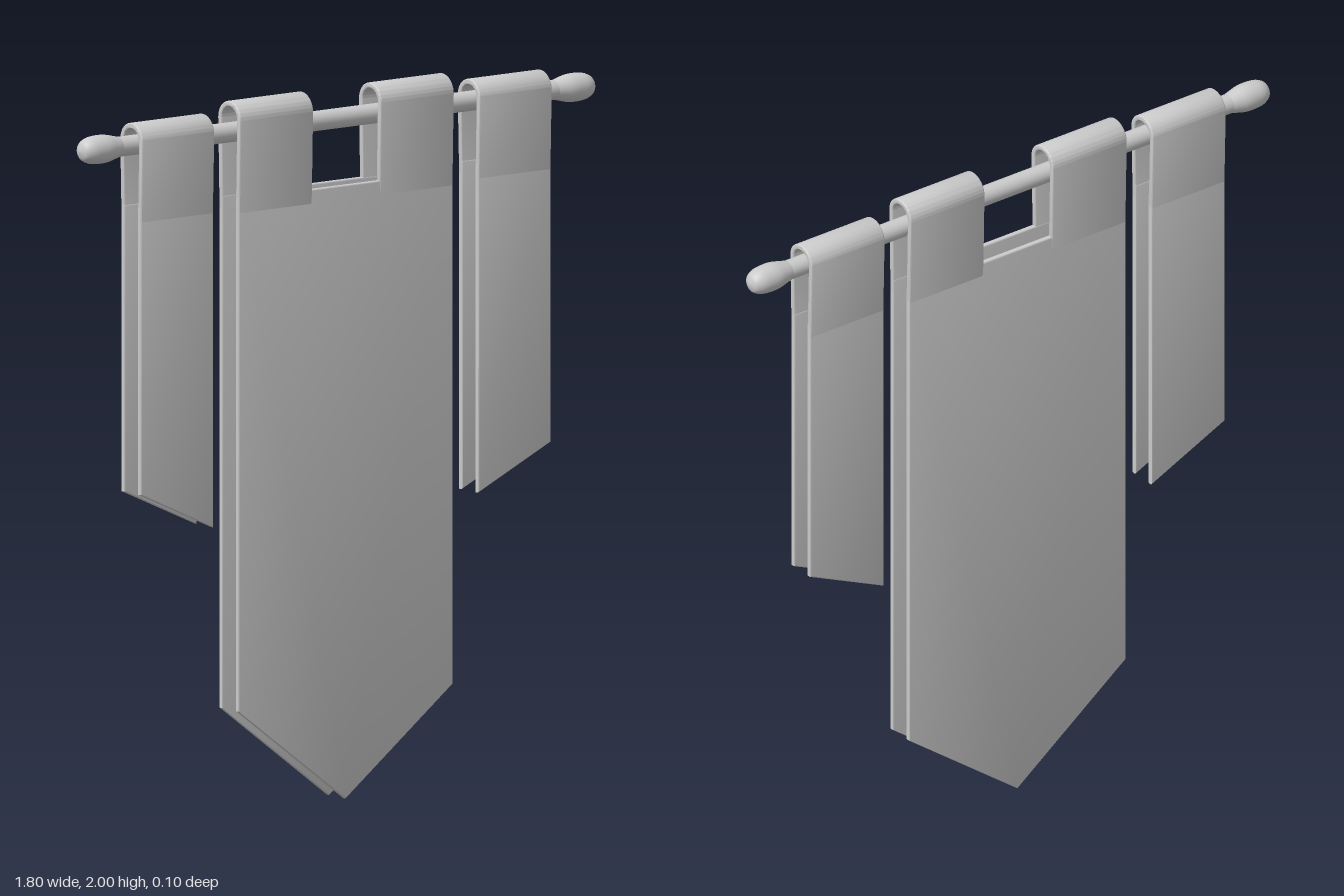
import * as THREE from 'three';
import { toCreasedNormals } from 'three/addons/utils/BufferGeometryUtils.js';

const material = new THREE.MeshStandardMaterial({ color: 0xcccccc });
const ROD_Y = 1.912;
const THICK = 0.016; // cloth thickness
const SHEET_Z = 0.037; // centre of each hanging sheet
const LOOP_R = 0.051; // outer radius of the fold over the rod
const BEVEL = 0.004;

function addMesh(parent, name, geometry) {
  const mesh = new THREE.Mesh(geometry, material);
  mesh.name = name;
  parent.add(mesh);
  return mesh;
}

// Extrusion with softened edges that keeps the outline size, centred on its depth
function softExtrude(shape, depth) {
  const geo = new THREE.ExtrudeGeometry(shape, {
    depth: depth - 2 * BEVEL,
    bevelSize: BEVEL,
    bevelThickness: BEVEL,
    bevelOffset: -BEVEL,
    bevelSegments: 3,
    curveSegments: 24,
  });
  geo.translate(0, 0, -depth / 2 + BEVEL);
  return toCreasedNormals(geo, 0.7);
}

// Cloth folded over the rod from x0 to x1, reaching down to yBottom on both sides
function clothLoop(x0, x1, yTop, yBottom) {
  const yc = yTop - LOOP_R;
  const inner = LOOP_R - THICK;
  const zOut = SHEET_Z + THICK / 2;
  const zIn = SHEET_Z - THICK / 2;
  const shape = new THREE.Shape();
  shape.moveTo(zOut, yBottom);
  shape.lineTo(LOOP_R, yc);
  shape.absarc(0, yc, LOOP_R, 0, Math.PI, false);
  shape.lineTo(-zOut, yBottom);
  shape.lineTo(-zIn, yBottom);
  shape.lineTo(-inner, yc);
  shape.absarc(0, yc, inner, Math.PI, 0, true);
  shape.lineTo(zIn, yBottom);
  shape.closePath();
  const geo = softExtrude(shape, x1 - x0);
  geo.rotateY(Math.PI / 2);
  geo.translate((x0 + x1) / 2, 0, 0);
  return geo;
}

// Matching front and back sheets cut to the same outline
function addSheets(parent, points) {
  const shape = new THREE.Shape(points.map(([x, y]) => new THREE.Vector2(x, y)));
  const geo = softExtrude(shape, THICK);
  addMesh(parent, 'frontSheet', geo).position.z = SHEET_Z;
  addMesh(parent, 'backSheet', geo).position.z = -SHEET_Z;
}

export function createModel() {
  const model = new THREE.Group();
  model.name = 'hangingBanner';

  // Rod
  const rod = new THREE.CylinderGeometry(0.028, 0.028, 1.58, 32);
  rod.rotateZ(Math.PI / 2);
  addMesh(model, 'rod', rod).position.y = ROD_Y;

  // Rounded finials at both ends
  const profile = new THREE.SplineCurve([
    [0.028, 0.765], [0.033, 0.785], [0.039, 0.812], [0.04, 0.84],
    [0.037, 0.868], [0.027, 0.889], [0.013, 0.897], [0, 0.9],
  ].map(([r, y]) => new THREE.Vector2(r, y))).getPoints(28);
  profile[profile.length - 1].x = 0;
  for (const side of [1, -1]) {
    const finial = addMesh(model, side > 0 ? 'leftFinial' : 'rightFinial',
      new THREE.LatheGeometry(profile, 32));
    finial.position.y = ROD_Y;
    finial.rotation.z = -side * Math.PI / 2;
  }

  // Central banner: pointed sheets hung from two loops
  const centre = new THREE.Group();
  centre.name = 'centralBanner';
  model.add(centre);
  addSheets(centre, [[0, 0.003], [0.376, 0.287], [0.376, 1.73], [-0.376, 1.73], [-0.376, 0.287]]);
  addMesh(centre, 'leftLoop', clothLoop(0.118, 0.376, 2, 1.69));
  addMesh(centre, 'rightLoop', clothLoop(-0.376, -0.118, 2, 1.69));

  // Side banners with slanted lower edges, lowest towards the middle
  for (const side of [1, -1]) {
    const banner = new THREE.Group();
    banner.name = side > 0 ? 'leftBanner' : 'rightBanner';
    model.add(banner);
    const outline = [[0.465, 0.815], [0.72, 0.932], [0.72, 1.74], [0.465, 1.74]];
    addSheets(banner, outline.map(([x, y]) => [side * x, y]));
    const [x0, x1] = side > 0 ? [0.465, 0.72] : [-0.72, -0.465];
    addMesh(banner, 'loop', clothLoop(x0, x1, 1.974, 1.7));
  }

  return model;
}
